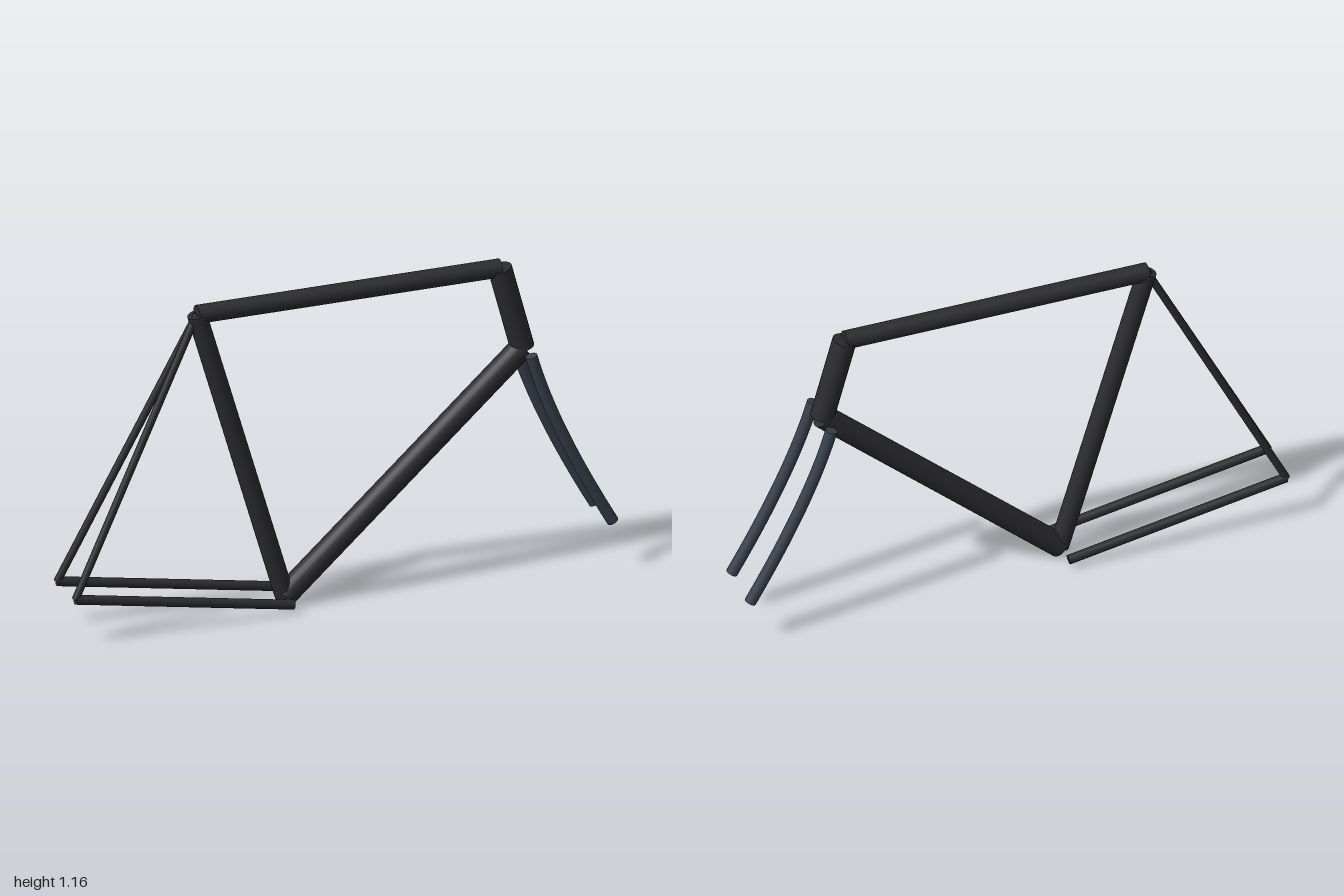
import * as THREE from 'three';

const frameMat = new THREE.MeshStandardMaterial({ color: 0x2c2c30 });
const forkMat = new THREE.MeshStandardMaterial({ color: 0x38404c });

// Straight round tube between two points
function tube(name, a, b, radius) {
  const dir = b.clone().sub(a);
  const mesh = new THREE.Mesh(new THREE.CylinderGeometry(radius, radius, dir.length(), 24), frameMat);
  mesh.name = name;
  mesh.position.copy(a).add(b).multiplyScalar(0.5);
  mesh.quaternion.setFromUnitVectors(new THREE.Vector3(0, 1, 0), dir.normalize());
  return mesh;
}

// Curved round tube with flat ends
function bentTube(name, curve, radius) {
  const group = new THREE.Group();
  group.name = name;
  group.add(new THREE.Mesh(new THREE.TubeGeometry(curve, 24, radius, 20), forkMat));
  for (const t of [0, 1]) {
    const cap = new THREE.Mesh(new THREE.CircleGeometry(radius, 20), forkMat);
    cap.position.copy(curve.getPoint(t));
    const out = curve.getTangent(t).multiplyScalar(t ? 1 : -1);
    cap.quaternion.setFromUnitVectors(new THREE.Vector3(0, 0, 1), out);
    group.add(cap);
  }
  return group;
}

export function createModel() {
  const model = new THREE.Group();
  model.name = 'bicycleFrame';
  const P = (x, y, z = 0) => new THREE.Vector3(x, y, z);

  // Joints of the main frame
  const bottom = P(-0.187, 0.031);
  const seat = P(-0.508, 1.12);
  const headTop = P(0.6, 1.129);
  const headBottom = P(0.682, 0.825);

  model.add(
    tube('seatTube', bottom, seat, 0.034),
    tube('topTube', seat, headTop, 0.033),
    tube('headTube', headTop, headBottom, 0.042),
    tube('downTube', bottom, headBottom, 0.042),
  );

  // Paired stays and fork blades
  for (const [side, z] of [['left', 0.088], ['right', -0.088]]) {
    const axle = P(-0.985, 0.167, z);
    model.add(
      tube(side + 'ChainStay', P(bottom.x, bottom.y, z), axle, 0.017),
      tube(side + 'SeatStay', seat, axle, 0.0135),
      bentTube(side + 'ForkBlade', new THREE.QuadraticBezierCurve3(
        P(0.682, 0.825, z), P(0.758, 0.552, z), P(0.98, 0.169, z)), 0.021),
    );
  }
  return model;
}
